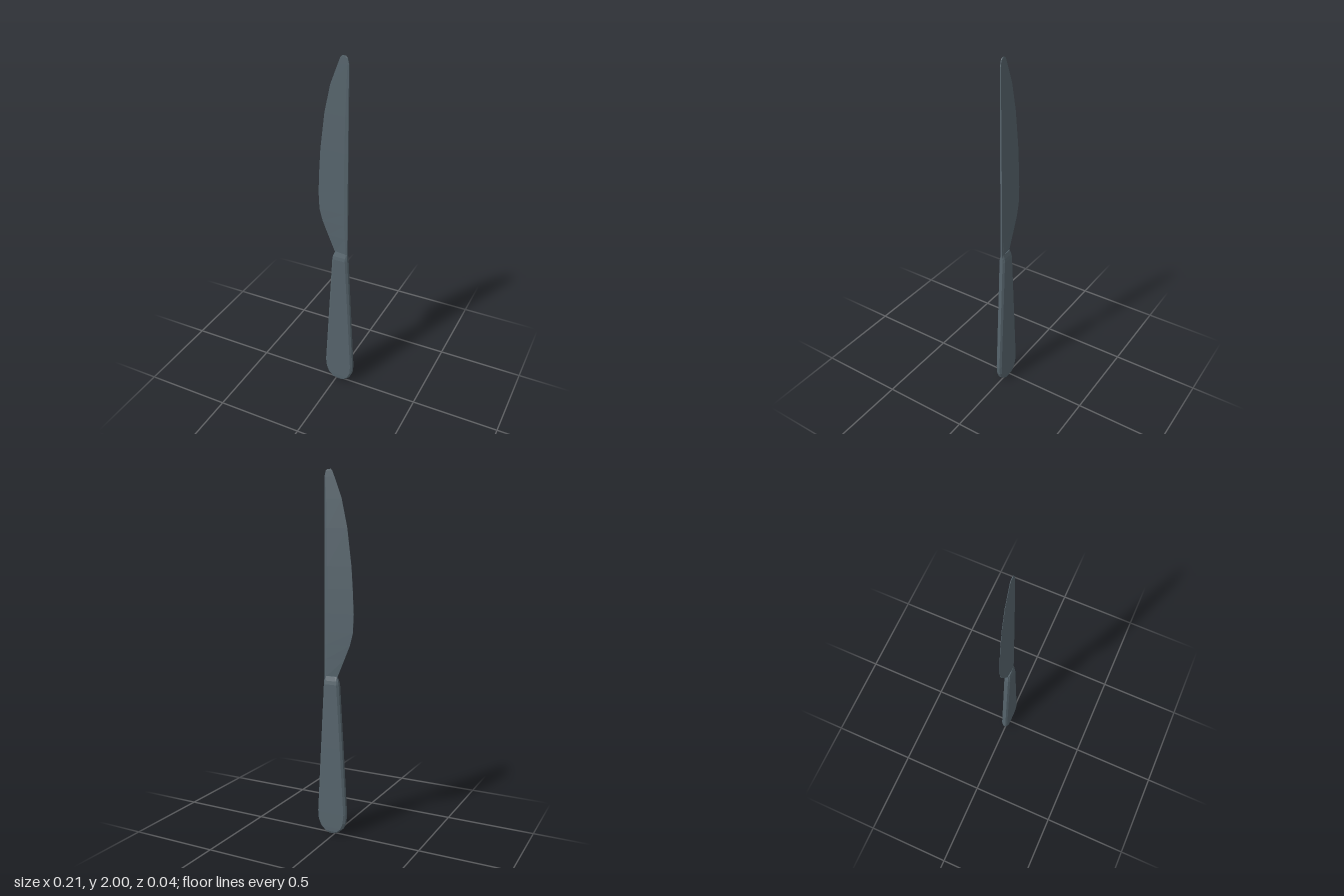
import * as THREE from 'three';

// Skin a stack of horizontal rings (each running +x along the front) and cap both ends.
function loft(rings) {
  const n = rings[0].length;
  const index = [];
  for (let i = 0; i < rings.length - 1; i++) {
    for (let j = 0; j < n; j++) {
      const k = (j + 1) % n;
      const a = i * n + j, b = i * n + k;
      index.push(a, b, b + n, a, b + n, a + n);
    }
  }
  const top = (rings.length - 1) * n;
  for (let j = 1; j < n - 1; j++) {
    index.push(0, j + 1, j, top, top + j, top + j + 1);
  }
  const geometry = new THREE.BufferGeometry();
  geometry.setAttribute('position', new THREE.Float32BufferAttribute(rings.flat(2), 3));
  geometry.setIndex(index);
  geometry.computeVertexNormals();
  return geometry;
}

// Chamfered slab section
function handleRing([y, left, right, d]) {
  const c = Math.min(0.011, (right - left) * 0.2), e = d * 0.5;
  return [
    [left, y, e], [left + c, y, d], [right - c, y, d], [right, y, e],
    [right, y, -e], [right - c, y, -d], [left + c, y, -d], [left, y, -e],
  ];
}

// Wedge section: thin cutting edge on the left, bevelled spine on the right
function bladeRing([y, left, right, d]) {
  const s = right - (right - left) * 0.12, e = 0.001;
  return [
    [left, y, e], [s, y, d], [right, y, d * 0.6],
    [right, y, -d * 0.6], [s, y, -d], [left, y, -e],
  ];
}

export function createModel() {
  const steel = new THREE.MeshStandardMaterial({ color: 0x56646c, flatShading: true });
  steel.name = 'dark steel';
  const group = new THREE.Group();
  group.name = 'tableKnife';

  // Rows: height, left x, right x, half thickness
  const handleRows = [
    [0, 0.0, 0.04, 0.012],
    [0.012, -0.025, 0.063, 0.017],
    [0.035, -0.05, 0.087, 0.018],
    [0.07, -0.064, 0.102, 0.018],
    [0.12, -0.069, 0.106, 0.018],
    [0.5, -0.046, 0.086, 0.018],
    [0.86, -0.024, 0.067, 0.018],
    [0.88, -0.02, 0.066, 0.015],
    [0.905, -0.009, 0.064, 0.008],
  ];
  const bladeRows = [
    [0.88, -0.005, 0.064, 0.008],
    [0.9, -0.011, 0.064, 0.008],
    [1.0, -0.053, 0.064, 0.008],
    [1.08, -0.086, 0.064, 0.008],
    [1.15, -0.104, 0.064, 0.008],
    [1.25, -0.108, 0.064, 0.008],
    [1.38, -0.102, 0.064, 0.008],
    [1.5, -0.094, 0.064, 0.008],
    [1.7, -0.069, 0.064, 0.007],
    [1.85, -0.036, 0.064, 0.005],
    [1.96, 0.006, 0.064, 0.004],
    [1.99, 0.018, 0.057, 0.003],
    [2.0, 0.027, 0.047, 0.002],
  ];

  const handle = new THREE.Mesh(loft(handleRows.map(handleRing)), steel);
  handle.name = 'handle';
  const blade = new THREE.Mesh(loft(bladeRows.map(bladeRing)), steel);
  blade.name = 'blade';
  group.add(handle, blade);
  return group;
}
